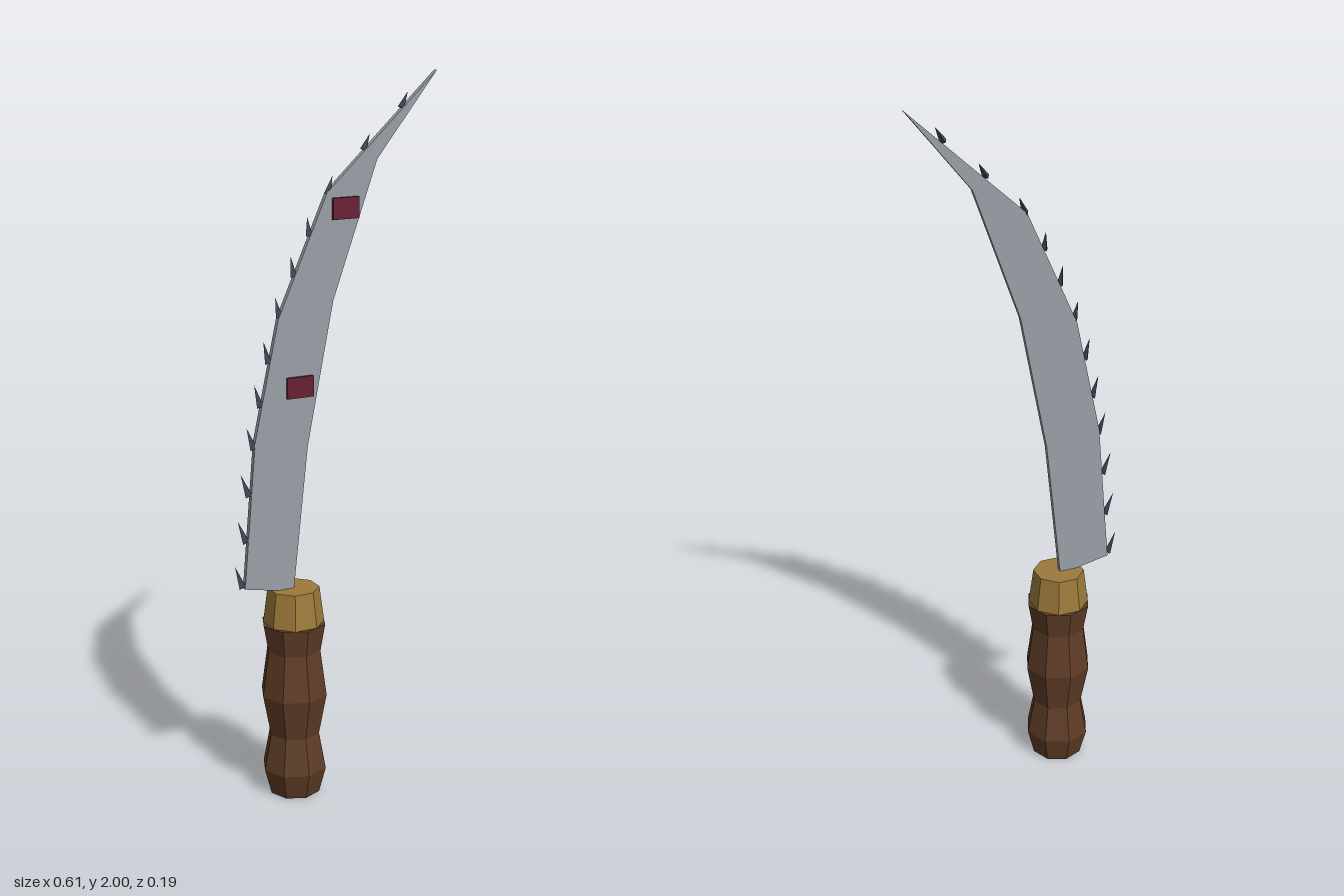
import * as THREE from 'three';

const mat = (name, color) => {
  const m = new THREE.MeshStandardMaterial({ color, flatShading: true });
  m.name = name;
  return m;
};

export function createModel() {
  const steel = mat('steel', 0x989fa6);
  const darkSteel = mat('dark steel', 0x3a4452);
  const wood = mat('wood', 0x5e3c26);
  const brass = mat('brass', 0x9c7a3a);
  const crimson = mat('crimson', 0x681e32);

  const model = new THREE.Group();
  model.name = 'curvedSword';
  const add = (name, geometry, material, x = 0, y = 0, z = 0, parent = model) => {
    const mesh = new THREE.Mesh(geometry, material);
    mesh.name = name;
    mesh.position.set(x, y, z);
    parent.add(mesh);
    return mesh;
  };

  // Eight-sided grip with two swells
  const gripX = -0.128;
  const profile = [
    [0, 0], [0.073, 0], [0.093, 0.075], [0.073, 0.18], [0.096, 0.3],
    [0.078, 0.43], [0.092, 0.51], [0, 0.51],
  ].map(([r, y]) => new THREE.Vector2(r, y));
  add('grip', new THREE.LatheGeometry(profile, 8), wood, gripX);

  // Tapered collar between grip and blade
  const collar = new THREE.CylinderGeometry(0.072, 0.085, 0.1, 8);
  collar.rotateY(Math.PI / 8);
  add('collar', collar, brass, gripX, 0.56);

  // Curved flat blade
  const outline = [
    [-0.277, 0.63], [-0.13, 0.6], [-0.085, 1.01], [-0.007, 1.405], [0.125, 1.775],
    [0.304, 2], [-0.025, 1.695], [-0.17, 1.37], [-0.242, 1.04],
  ].map(([x, y]) => new THREE.Vector2(x, y));
  add('blade', new THREE.ExtrudeGeometry(new THREE.Shape(outline), {
    depth: 0.015, bevelEnabled: false,
  }), steel, 0, 0, -0.009);

  // Saw teeth along the back edge: base x, base y, tip x, tip y
  const teeth = new THREE.Group();
  teeth.name = 'teeth';
  model.add(teeth);
  const toothRows = [
    [-0.284, 0.635, -0.304, 0.698], [-0.272, 0.763, -0.294, 0.826],
    [-0.262, 0.893, -0.283, 0.956], [-0.246, 1.023, -0.264, 1.083],
    [-0.225, 1.137, -0.240, 1.198], [-0.200, 1.254, -0.212, 1.315],
    [-0.167, 1.375, -0.176, 1.428], [-0.124, 1.480, -0.130, 1.534],
    [-0.078, 1.585, -0.081, 1.635], [-0.024, 1.692, -0.006, 1.738],
    [0.083, 1.802, 0.105, 1.842], [0.196, 1.907, 0.219, 1.947],
  ];
  const up = new THREE.Vector3(0, 1, 0);
  toothRows.forEach(([bx, by, tx, ty], i) => {
    const dir = new THREE.Vector3(tx - bx, ty - by, 0);
    const cone = new THREE.ConeGeometry(0.0115, dir.length(), 3);
    cone.rotateY(Math.PI);
    const tooth = add(`tooth${i + 1}`, cone, darkSteel, (bx + tx) / 2, (by + ty) / 2, 0, teeth);
    tooth.quaternion.setFromUnitVectors(up, dir.normalize());
  });

  // Thin plates on the front face of the blade
  for (const [name, x, y] of [['lowerPlate', -0.109, 1.18], ['upperPlate', 0.029, 1.652]]) {
    add(name, new THREE.BoxGeometry(0.078, 0.058, 0.008), crimson, x, y, 0.01);
  }
  return model;
}
